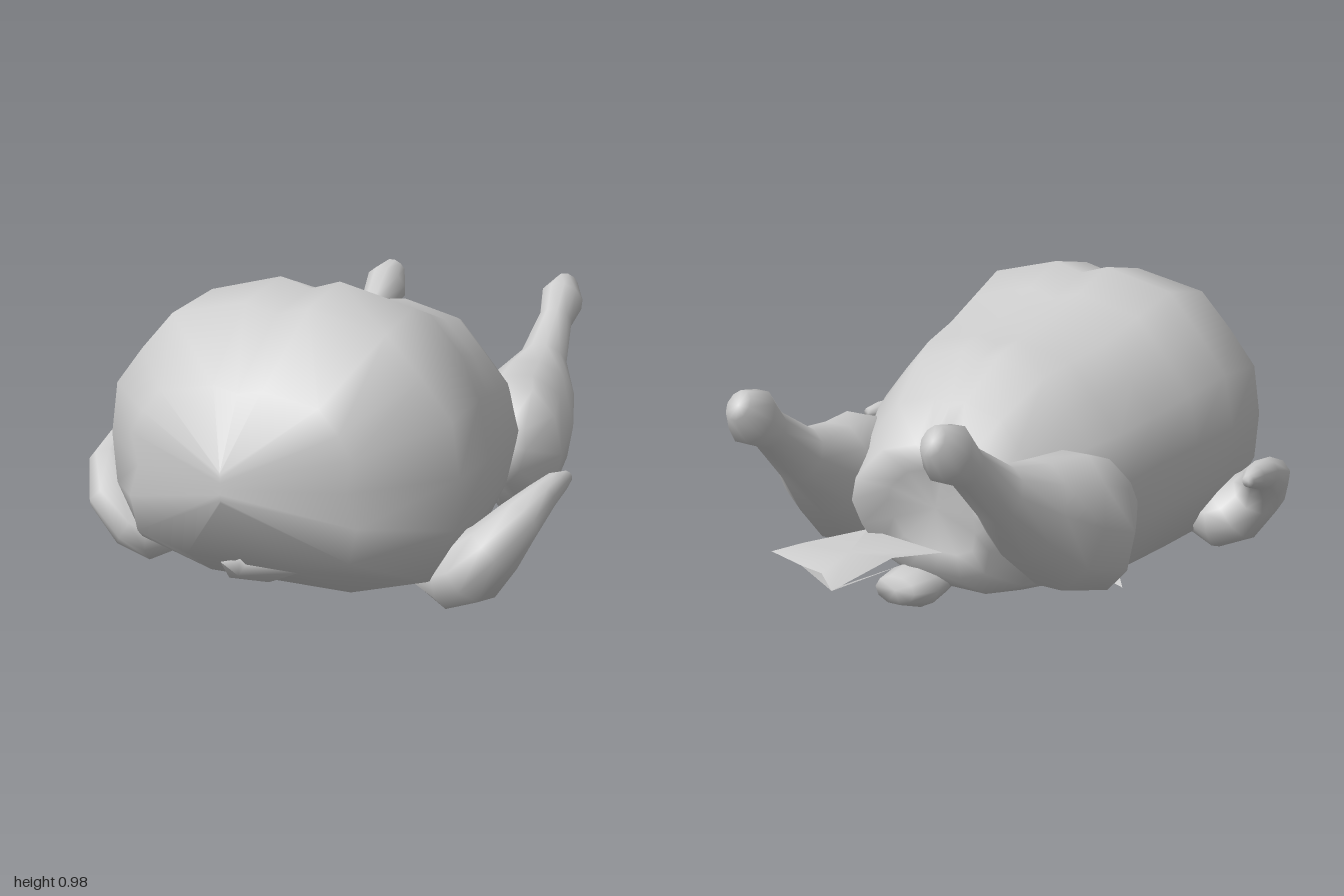
import * as THREE from 'three';
import { mergeVertices } from 'three/addons/utils/BufferGeometryUtils.js';

const V = (x, y, z) => new THREE.Vector3(x, y, z);

// Skin a row of closed rings of points with smooth normals
function loft(rings) {
  const n = rings[0].length, idx = [];
  for (let i = 0; i < rings.length - 1; i++) {
    for (let j = 0; j < n; j++) {
      const a = i * n + j, b = i * n + (j + 1) % n;
      idx.push(a, b, a + n, b, b + n, a + n);
    }
  }
  let g = new THREE.BufferGeometry().setFromPoints(rings.flat());
  g.setIndex(idx);
  g = mergeVertices(g, 1e-4);
  g.computeVertexNormals();
  return g;
}

// Limb from stations [x, y, z, radius along ref, radius across]
function limb(stations, ref, sides = 10) {
  const c = stations.map(s => V(s[0], s[1], s[2]));
  const rings = c.map((p, i) => {
    const d = c[Math.min(i + 1, c.length - 1)].clone().sub(c[Math.max(i - 1, 0)]).normalize();
    const a = ref.clone().addScaledVector(d, -ref.dot(d)).normalize();
    const b = d.clone().cross(a);
    return Array.from({ length: sides }, (_, j) => {
      const t = j / sides * Math.PI * 2;
      return p.clone().addScaledVector(a, Math.cos(t) * stations[i][3])
        .addScaledVector(b, Math.sin(t) * stations[i][4]);
    });
  });
  const point = p => Array.from({ length: sides }, () => p.clone());
  return loft([point(c[0]), ...rings, point(c[c.length - 1])]);
}

// Mirror across x, keeping faces outward
function mirrored(geo) {
  const g = geo.clone().scale(-1, 1, 1);
  g.setIndex(Array.from(geo.index.array).reverse());
  g.computeVertexNormals();
  return g;
}

// Thin scrap of skin: a fan around the first point
function scrap(points) {
  const g = new THREE.BufferGeometry().setFromPoints(points.map(p => V(...p)));
  const idx = [];
  for (let i = 1; i < points.length - 1; i++) idx.push(0, i, i + 1);
  g.setIndex(idx);
  g.computeVertexNormals();
  return g;
}

export function createModel() {
  const group = new THREE.Group();
  const skin = new THREE.MeshStandardMaterial({ color: 0xcccccc });
  skin.name = 'skin';
  skin.side = THREE.DoubleSide;
  const add = (name, geo) => {
    const m = new THREE.Mesh(geo, skin);
    m.name = name;
    group.add(m);
  };

  // Body: one half section (top to bottom), scaled along z
  const half = [[0, 0.94], [0.17, 1], [0.58, 0.88], [0.77, 0.62], [0.94, 0.36], [1, 0],
    [0.96, -0.4], [0.8, -0.82], [0.39, -1], [0, -1]];
  const section = [...half, ...half.slice(1, -1).reverse().map(([u, v]) => [-u, v])];
  // z, half width, bottom, middle, top, forward lean of underside and notch, top widening
  const stations = [
    [1.0, 0, 0.43, 0.47, 0.52, 0, 0],
    [0.89, 0.34, 0.22, 0.47, 0.74, 0, 0.35],
    [0.65, 0.585, 0.08, 0.48, 0.935, 0, 0.05],
    [0.43, 0.59, 0.025, 0.48, 0.975, 0, 0],
    [0.25, 0.55, 0.01, 0.46, 0.915, 0, 0],
    [0.07, 0.51, 0, 0.44, 0.855, 0, 0],
    [-0.1, 0.485, 0.015, 0.42, 0.825, 0, -0.05],
    [-0.2, 0.45, 0.025, 0.41, 0.795, 0, -0.1],
    [-0.39, 0.36, 0.06, 0.38, 0.68, 0.02, -0.1],
    [-0.56, 0.25, 0.14, 0.36, 0.56, 0.09, 0],
    [-0.49, 0.16, 0.2, 0.36, 0.47, 0.05, 0],
    [-0.46, 0, 0.35, 0.35, 0.35, 0, 0],
  ];
  add('body', loft(stations.map(([z, w, lo, mid, hi, lean, widen]) =>
    section.map(([u, v]) => V(u * w * (1 + widen * Math.abs(v)),
      mid + v * (v > 0 ? hi - mid : mid - lo),
      z + lean * Math.max(-v, v * (1 - Math.abs(u)) * 0.8))))));

  // Drumsticks with knobbed ends
  const leg = limb([
    [0.445, 0.36, -0.09, 0.07, 0.12],
    [0.44, 0.315, -0.22, 0.15, 0.225],
    [0.405, 0.36, -0.37, 0.17, 0.22],
    [0.375, 0.435, -0.53, 0.15, 0.155],
    [0.365, 0.52, -0.67, 0.085, 0.09],
    [0.355, 0.64, -0.82, 0.06, 0.064],
    [0.35, 0.70, -0.90, 0.077, 0.09],
    [0.345, 0.75, -0.965, 0.04, 0.05],
  ], V(1, 0, 0));
  add('leftLeg', leg);
  add('rightLeg', mirrored(leg));

  // Folded wings, tips pointing back
  const wing = limb([
    [0.44, 0.15, 0.49, 0.07, 0.11],
    [0.51, 0.14, 0.50, 0.11, 0.135],
    [0.58, 0.17, 0.51, 0.11, 0.14],
    [0.65, 0.245, 0.53, 0.09, 0.115],
    [0.70, 0.315, 0.47, 0.07, 0.085],
    [0.73, 0.36, 0.37, 0.05, 0.055],
    [0.745, 0.38, 0.27, 0.038, 0.036],
    [0.755, 0.385, 0.205, 0.02, 0.02],
  ], V(-0.6, 0.8, 0));
  add('leftWing', wing);
  add('rightWing', mirrored(wing));

  // Tail stub, slightly off centre
  add('tail', limb([
    [0.07, 0.12, -0.25, 0.07, 0.06],
    [0.08, 0.08, -0.38, 0.08, 0.06],
    [0.09, 0.075, -0.46, 0.1, 0.07],
    [0.09, 0.09, -0.56, 0.075, 0.045],
  ], V(1, 0, 0)));

  // Loose skin behind the cavity, folded in two layers
  add('rearFlap', scrap([[0.16, 0.245, -0.7], [0.25, 0.24, -0.48], [-0.06, 0.23, -0.51],
    [0.06, 0.22, -0.61], [0.08, 0.2, -0.89], [0.18, 0.21, -0.81], [0.29, 0.2, -0.77],
    [0.45, 0.2, -0.72], [0.38, 0.22, -0.65], [0.25, 0.24, -0.48]]));
  add('rearFlapUnderside', scrap([[0.16, 0.15, -0.73], [0.06, 0.18, -0.55],
    [0.08, 0.2, -0.89], [0.29, 0.2, -0.77], [0.25, 0.18, -0.55]]));

  // Loose skin at the neck and under the side
  add('neckFlap', scrap([[0.0, 0.18, 0.905], [-0.08, 0.2, 0.87], [-0.085, 0.13, 0.81],
    [0.06, 0.145, 0.83], [0.17, 0.2, 0.86], [0.02, 0.215, 0.895], [0, 0.23, 0.895],
    [-0.08, 0.2, 0.87]]));
  add('bellyFlap', scrap([[-0.46, 0.055, -0.08], [-0.25, 0.035, 0.05], [-0.24, 0.03, 0.13],
    [-0.4, 0.075, 0.0]]));
  return group;
}
